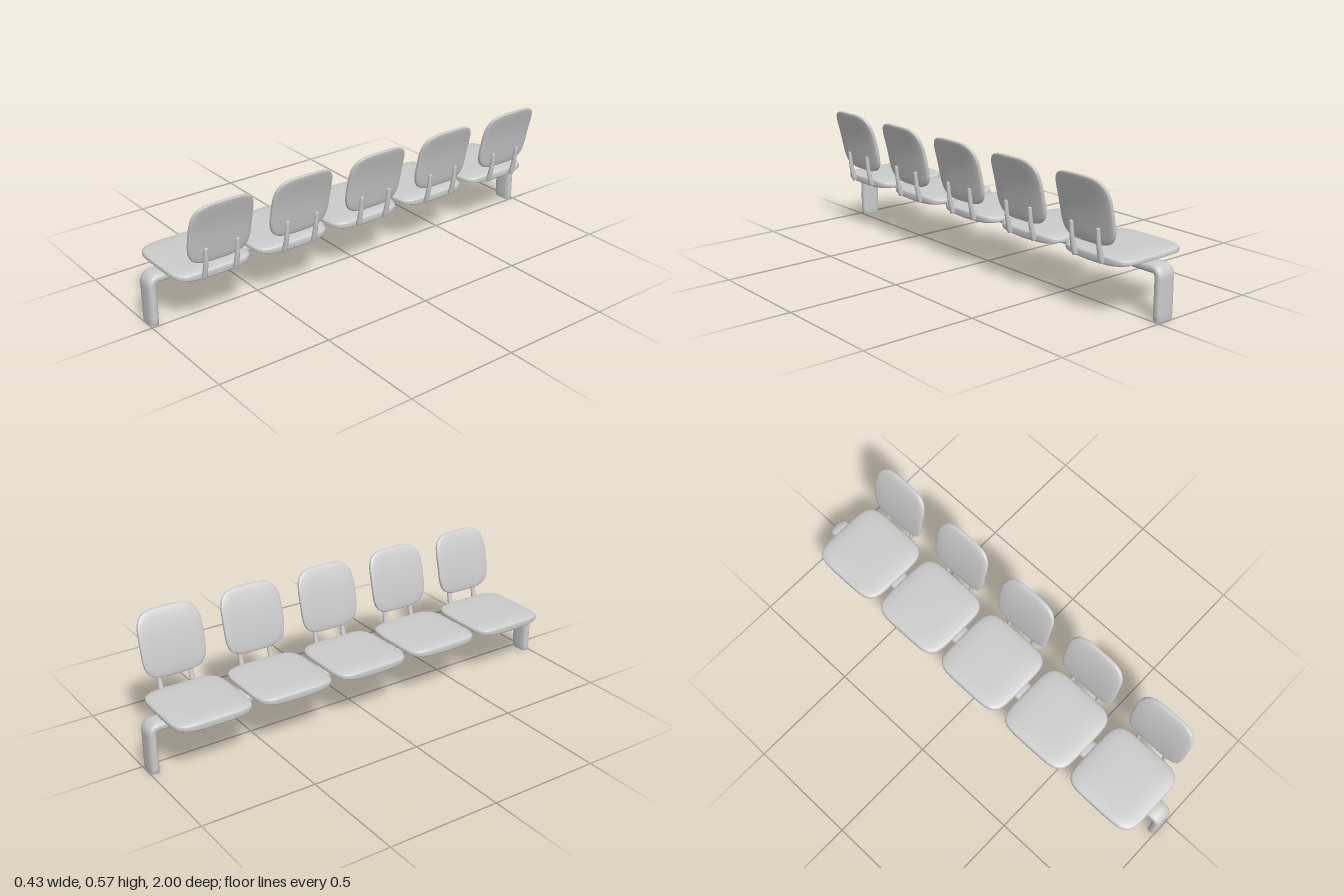
import * as THREE from 'three';
import { mergeVertices } from 'three/addons/utils/BufferGeometryUtils.js';

const material = new THREE.MeshStandardMaterial({ color: 0xcccccc });
const V = (x, y, z) => new THREE.Vector3(x, y, z);

// Weld seams and smooth the normals
function smooth(geo) {
  geo.deleteAttribute('uv');
  geo.deleteAttribute('normal');
  const welded = mergeVertices(geo, 1e-5);
  welded.computeVertexNormals();
  return welded;
}

// Cushion: a sphere reshaped to a rounded-square outline (power n) with a
// rounded rim (power p); place() maps unit coordinates to the final point
function cushion(n, p, place) {
  const geo = new THREE.SphereGeometry(1, 64, 48);
  const pos = geo.attributes.position;
  for (let i = 0; i < pos.count; i++) {
    const x = pos.getX(i), y = pos.getY(i), z = pos.getZ(i);
    const s = Math.min(1, Math.hypot(x, z));
    const norm = Math.pow(Math.abs(x) ** n + Math.abs(z) ** n, 1 / n) || 1;
    const k = s / norm;
    const h = Math.sign(y) * Math.pow(Math.max(0, 1 - s ** p), 1 / p);
    const q = place(x * k, h, z * k);
    pos.setXYZ(i, q.x, q.y, q.z);
  }
  return smooth(geo);
}

// Closed bar swept along a curve; shape(offset, t) edits each unit offset
function bar(curve, segments, sides, shape) {
  const geo = new THREE.TubeGeometry(curve, segments, 1, sides);
  const pos = geo.attributes.position;
  const endScale = [0, 0.84, 0.96];
  const endRing = [0, 0, 0.4];
  for (let i = 0; i < pos.count; i++) {
    const ring = Math.floor(i / (sides + 1));
    const fromEnd = Math.min(ring, segments - ring);
    const o = V().fromBufferAttribute(pos, i).sub(curve.getPointAt(ring / segments));
    shape(o, ring / segments);
    // The last rings close and round the ends
    let at = ring;
    if (fromEnd < 3) {
      o.multiplyScalar(endScale[fromEnd]);
      at = ring < 3 ? endRing[fromEnd] : segments - endRing[fromEnd];
    }
    const c = curve.getPointAt(at / segments).add(o);
    pos.setXYZ(i, c.x, c.y, c.z);
  }
  return smooth(geo);
}

function add(parent, name, geo) {
  const mesh = new THREE.Mesh(geo, material);
  mesh.name = name;
  parent.add(mesh);
  return mesh;
}

// One-piece frame: leg, long beam, leg
function frameGeometry() {
  const x = -0.044, top = 0.205, end = 0.98, r = 0.032;
  const path = new THREE.CurvePath();
  path.add(new THREE.LineCurve3(V(x, 0, end), V(x, top - r, end)));
  path.add(new THREE.QuadraticBezierCurve3(V(x, top - r, end), V(x, top, end), V(x, top, end - r)));
  path.add(new THREE.LineCurve3(V(x, top, end - r), V(x, top, r - end)));
  path.add(new THREE.QuadraticBezierCurve3(V(x, top, r - end), V(x, top, -end), V(x, top - r, -end)));
  path.add(new THREE.LineCurve3(V(x, top - r, -end), V(x, 0, -end)));
  return bar(path, 320, 32, (o) => {
    const side = Math.hypot(o.y, o.z);
    const k = 1 / Math.pow(Math.abs(o.x) ** 3.2 + side ** 3.2, 1 / 3.2);
    o.multiplyScalar(k);
    o.set(o.x * 0.044, o.y * 0.02, o.z * 0.02);
  });
}

// Seat: flat top, underside bowed across the width
function seatGeometry() {
  return cushion(5.5, 4.5, (x, h, z) => {
    const y = h > 0 ? 0.236 + h * (0.026 - 0.006 * z ** 4) : 0.236 + h * (0.029 - 0.02 * z * z);
    return V(-0.045 + 0.175 * x, y, 0.179 * z);
  });
}

// Backrest: leans back, curling further towards the top
function backrestGeometry() {
  return cushion(4, 4, (w, h, v) => {
    const t = (v + 1) / 2;
    const lean = 0.135 + 0.045 * t + 0.027 * t ** 3;
    return V(lean + 0.0145 * h - 0.004 * w * w, 0.434 + 0.139 * v, 0.143 * w);
  });
}

// Tapered rod joining the seat's rear edge to the backrest
function rodGeometry() {
  const curve = new THREE.CatmullRomCurve3([
    V(0.14, 0.23, 0), V(0.147, 0.255, 0), V(0.158, 0.305, 0), V(0.165, 0.37, 0),
  ]);
  return bar(curve, 30, 16, (o, t) => o.multiplyScalar(0.012 - 0.004 * t));
}

export function createModel() {
  const model = new THREE.Group();
  model.name = 'benchSeating';
  add(model, 'frame', frameGeometry());

  const seat = seatGeometry(), backrest = backrestGeometry(), rod = rodGeometry();
  for (let i = -2; i <= 2; i++) {
    const chair = new THREE.Group();
    chair.name = 'chair';
    chair.position.z = i * 0.379;
    add(chair, 'seat', seat);
    add(chair, 'backrest', backrest);
    for (const side of [-1, 1]) add(chair, 'backrestRod', rod).position.z = side * 0.072;
    model.add(chair);
  }
  return model;
}
